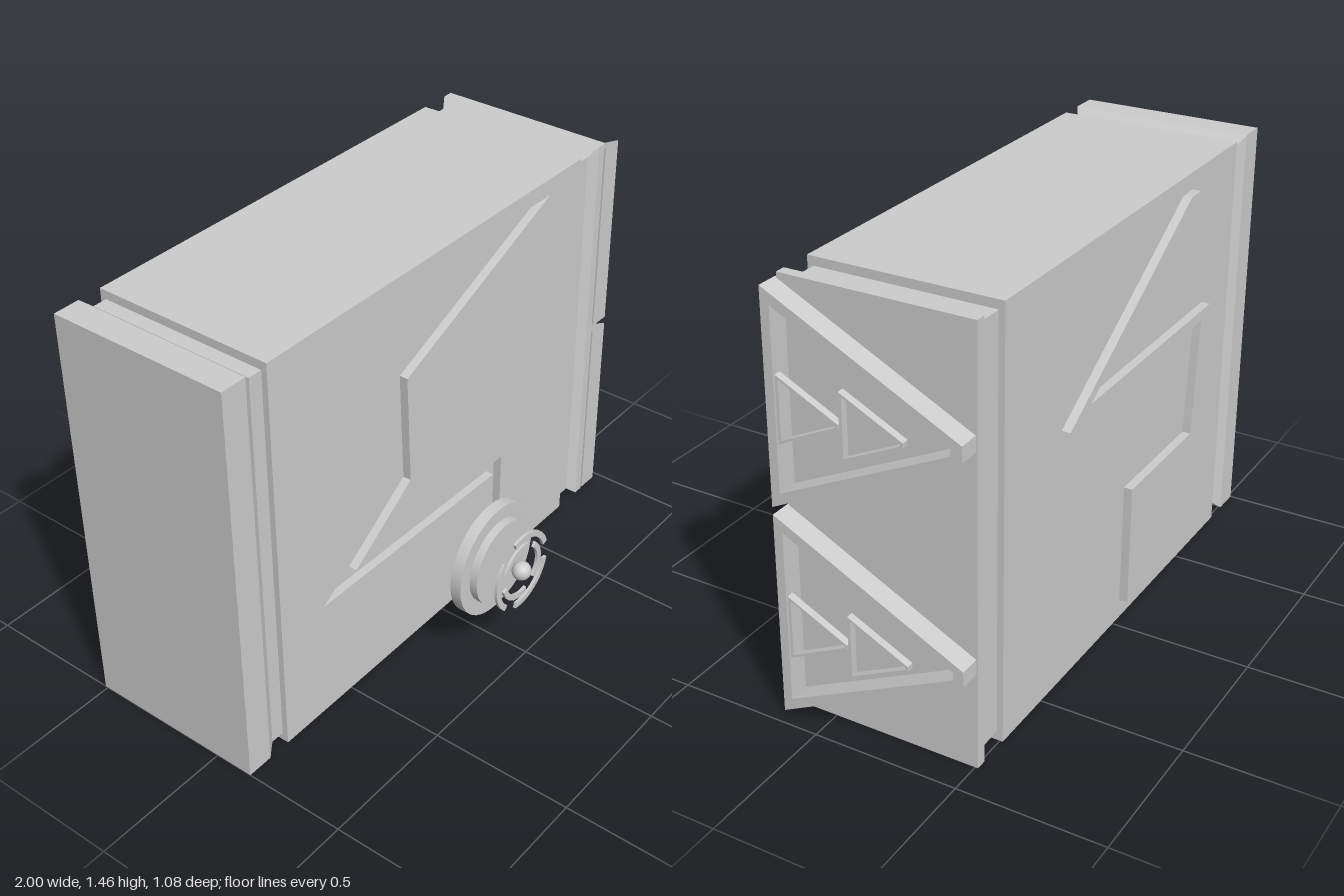
import * as THREE from 'three';

const grey = new THREE.MeshStandardMaterial({ color: 0xcccccc });
grey.name = 'plain grey';

const Y0 = 0, Y1 = 1.46, Z0 = -0.51, Z1 = 0.14;

function add(group, name, geometry, x = 0, y = 0, z = 0) {
  const mesh = new THREE.Mesh(geometry, grey);
  mesh.name = name;
  mesh.position.set(x, y, z);
  group.add(mesh);
  return mesh;
}

const toPoints = (list) => list.map(([a, b]) => new THREE.Vector2(a, b));

function extrude(outline, depth, holes = []) {
  const shape = new THREE.Shape(toPoints(outline));
  for (const hole of holes) shape.holes.push(new THREE.Path(toPoints(hole)));
  return new THREE.ExtrudeGeometry(shape, { depth, bevelEnabled: false, curveSegments: 12 });
}

// Rectangular sections [x, inset] joined along x, closed at both ends
function boxLoft(sections) {
  const ring = ([x, i]) => {
    const y0 = Y0 + i, y1 = Y1 - i, z0 = Z0 + i * 0.7, z1 = Z1 - i * 0.7;
    return [[x, y0, z1], [x, y0, z0], [x, y1, z0], [x, y1, z1]];
  };
  const rings = sections.map(ring);
  const pos = [];
  const quad = (a, b, c, d) => [a, b, c, a, c, d].forEach((p) => pos.push(...p));
  for (let s = 0; s < rings.length - 1; s++) {
    const p = rings[s], q = rings[s + 1];
    for (let k = 0; k < 4; k++) {
      const n = (k + 1) % 4;
      quad(p[k], p[n], q[n], q[k]);
    }
  }
  const last = rings[rings.length - 1];
  quad(last[0], last[1], last[2], last[3]);
  quad(rings[0][3], rings[0][2], rings[0][1], rings[0][0]);
  const geometry = new THREE.BufferGeometry();
  geometry.setAttribute('position', new THREE.Float32BufferAttribute(pos, 3));
  geometry.computeVertexNormals();
  return geometry;
}

// Blunt triangular frame on the +x end, pointing to the back
function triangleFrame(outer, inner, depth) {
  const outline = ([zBase, half, zTip, tipHalf]) => [
    [-zBase, -half], [-zTip, -tipHalf], [-zTip, tipHalf], [-zBase, half],
  ];
  return extrude(outline(outer), depth, [outline(inner)]).rotateY(Math.PI / 2);
}

function arcPlate(inner, outer, start, sweep) {
  const shape = new THREE.Shape();
  shape.absarc(0, 0, outer, start, start + sweep, false);
  shape.absarc(0, 0, inner, start + sweep, start, true);
  return new THREE.ExtrudeGeometry(shape, { depth: 0.01, bevelEnabled: false, curveSegments: 10 });
}

export function createModel() {
  const model = new THREE.Group();
  model.name = 'caseModel';

  // Main block, with a front panel cut by a zigzag groove
  const grooveDepth = 0.03;
  const core = new THREE.BoxGeometry(1.56, Y1, Z1 - Z0 - grooveDepth);
  add(model, 'mainBlock', core, -0.04, Y1 / 2, (Z0 + Z1 - grooveDepth) / 2);
  const groove = [
    [0.565, 1.4], [0.44, 1.4], [-0.24, 1.11], [-0.225, 0.71], [-0.62, 0.44],
    [0.29, 0.42], [0.29, 0.065], [0.335, 0.065], [0.335, 0.47], [-0.46, 0.483],
    [-0.178, 0.675], [-0.195, 1.077],
  ];
  const panel = [[-0.82, Y0], [0.74, Y0], [0.74, Y1], [-0.82, Y1]];
  add(model, 'groovedFrontPanel', extrude(panel, grooveDepth, [groove]), 0, 0, Z1 - grooveDepth);

  // Raised zigzag strip on the back
  const strip = [
    [-0.40, 1.4], [0.40, 0.915], [-0.535, 0.918], [-0.5, 0.505], [-0.046, 0.505],
    [-0.046, 0.07], [-0.1, 0.07], [-0.1, 0.46], [-0.55, 0.46], [-0.6, 0.957],
    [0.27, 0.955], [-0.47, 1.4],
  ];
  add(model, 'backZigzagStrip', extrude(strip, 0.035), 0, 0, -0.54);

  // End caps with recessed necks
  add(model, 'rightEndCap', boxLoft([[-1, 0], [-0.905, 0], [-0.87, 0.03], [-0.82, 0.03]]));
  add(model, 'leftEndCap', boxLoft([[0.74, 0.03], [0.815, 0.03], [0.85, 0], [0.887, 0]]));

  // Two large triangular frames, each with two small floating ones
  for (const y of [0.363, 1.093]) {
    const unit = new THREE.Group();
    unit.name = 'triangleUnit';
    unit.position.y = y;
    model.add(unit);
    add(unit, 'largeTriangleFrame',
      triangleFrame([0.146, 0.352, -0.505, 0.026], [0.115, 0.298, -0.47, 0.014], 0.077), 0.883);
    for (const shift of [0, -0.213]) {
      add(unit, 'smallTriangleFrame',
        triangleFrame([0.08, 0.11, -0.128, 0.008], [0.07, 0.096, -0.12, 0.004], 0.025), 0.972, 0, shift);
    }
  }

  // Dial floating in front of the block
  const dial = new THREE.Group();
  dial.name = 'dial';
  dial.position.set(-0.06, 0.405, 0);
  model.add(dial);
  const disc = (r, depth) => new THREE.CylinderGeometry(r, r, depth, 32).rotateX(Math.PI / 2);
  add(dial, 'dialBase', disc(0.203, 0.04), 0, 0, 0.388);
  add(dial, 'dialStep', disc(0.152, 0.03), 0, 0, 0.421);
  add(dial, 'dialKnob', new THREE.SphereGeometry(0.033, 20, 14), 0, 0, 0.506);
  for (let i = 0; i < 3; i++) {
    const a = (i * Math.PI * 2) / 3;
    add(dial, 'outerArc', arcPlate(0.122, 0.143, a + 0.3, 1.6), 0, 0, 0.5);
    add(dial, 'innerArc', arcPlate(0.085, 0.105, a + 1.3, 1.6), 0, 0, 0.5);
  }
  return model;
}
